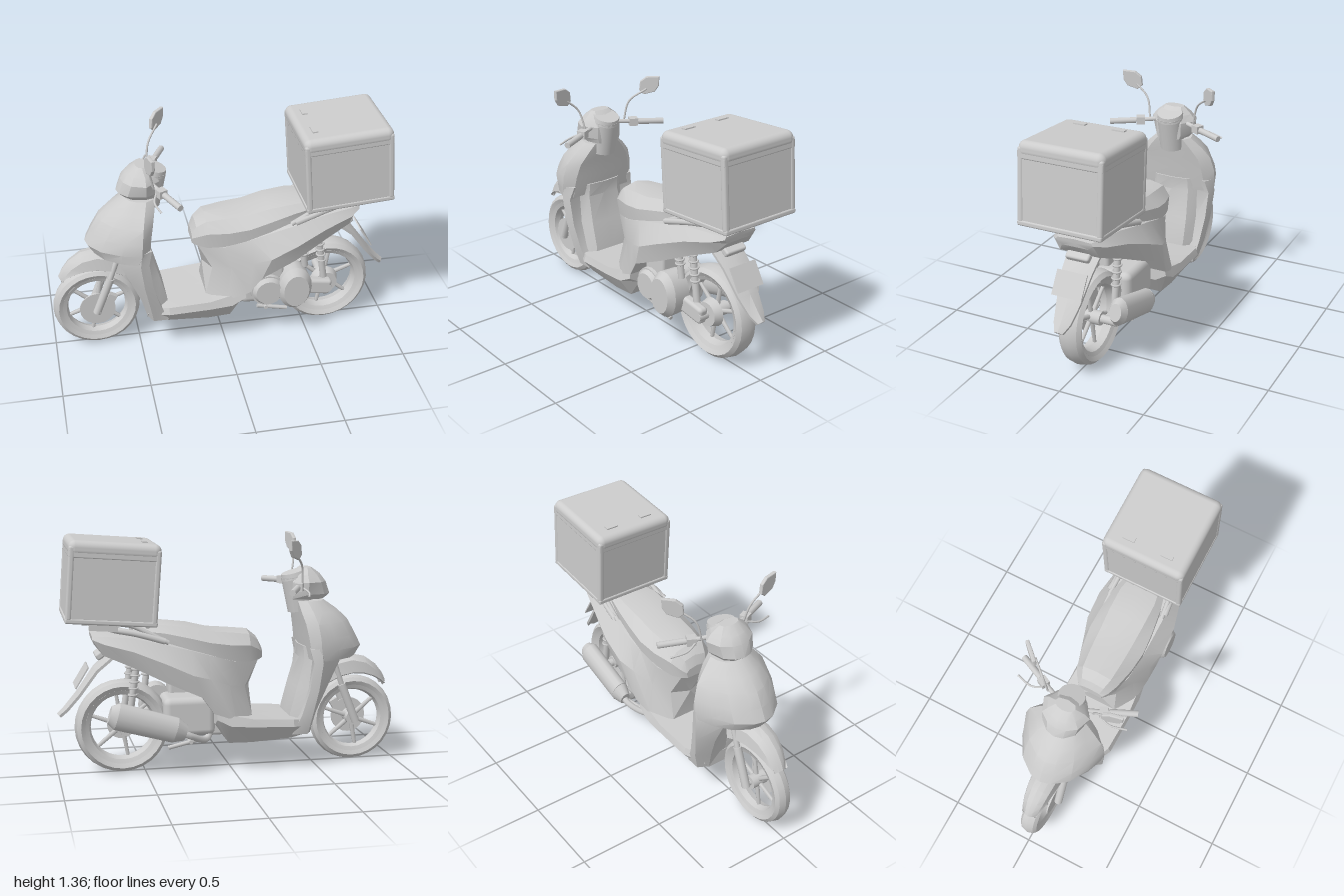
import * as THREE from 'three';
import { toCreasedNormals } from 'three/addons/utils/BufferGeometryUtils.js';
import { RoundedBoxGeometry } from 'three/addons/geometries/RoundedBoxGeometry.js';

const grey = new THREE.MeshStandardMaterial({ color: 0xcccccc });
grey.name = 'light grey';
const V = (p) => new THREE.Vector3(...p);

function add(parent, name, geo, pos = [0, 0, 0], rot = [0, 0, 0]) {
  const m = new THREE.Mesh(geo, grey);
  m.name = name;
  m.position.set(...pos);
  m.rotation.set(...rot);
  parent.add(m);
  return m;
}

// Closed skin over half sections (centre line to centre line), mirrored in z
function loft(sections, crease = 0.4) {
  const rings = sections.map((s) => [...s, ...s.filter((p) => p[2] > 1e-6).reverse().map(([x, y, z]) => [x, y, -z])]);
  const n = rings[0].length, tris = [];
  for (let i = 0; i + 1 < rings.length; i++) {
    for (let j = 0; j < n; j++) {
      const k = (j + 1) % n, a = rings[i][j], b = rings[i][k], c = rings[i + 1][k], d = rings[i + 1][j];
      tris.push([a, b, c], [a, c, d]);
    }
  }
  for (const [r, flip] of [[rings[0], true], [rings.at(-1), false]]) {
    const mid = [0, 1, 2].map((c) => r.reduce((t, p) => t + p[c], 0) / n);
    r.forEach((p, j) => tris.push(flip ? [mid, r[(j + 1) % n], p] : [mid, p, r[(j + 1) % n]]));
  }
  const volume = tris.reduce((t, [a, b, c]) => t + V(a).dot(V(b).cross(V(c))), 0);
  if (volume < 0) tris.forEach((t) => t.reverse());
  const g = new THREE.BufferGeometry();
  g.setAttribute('position', new THREE.Float32BufferAttribute(tris.flat(2), 3));
  return toCreasedNormals(g, crease);
}
// Sections along x: [x, [[y, z], ...]]
const alongX = (list) => loft(list.map(([x, pts]) => pts.map(([y, z]) => [x, y, z])));
// Sections by height: [y, [[x, z], ...]]
const byHeight = (list) => loft(list.map(([y, pts]) => pts.map(([x, z]) => [x, y, z])));

// Round bar between two points
function rod(parent, name, a, b, r, r2 = r, seg = 12) {
  const from = V(a), dir = V(b).sub(from);
  const m = add(parent, name, new THREE.CylinderGeometry(r2, r, dir.length(), seg));
  m.position.copy(from).addScaledVector(dir, 0.5);
  m.quaternion.setFromUnitVectors(new THREE.Vector3(0, 1, 0), dir.normalize());
  return m;
}
const tube = (parent, name, pts, r) =>
  add(parent, name, new THREE.TubeGeometry(new THREE.CatmullRomCurve3(pts.map(V)), 16, r, 8));
// Disc or drum whose axis is z, r2 being the outer (+z) radius
const drum = (parent, name, x, y, z, r, w, r2 = r) =>
  add(parent, name, new THREE.CylinderGeometry(r2, r, w, 20), [x, y, z], [Math.PI / 2, 0, 0]);

function wheel(name, x, y, R, w) {
  const g = new THREE.Group();
  g.name = name;
  g.position.set(x, y, 0);
  const spin = (pts) => toCreasedNormals(new THREE.LatheGeometry(pts.map(([r, z]) => new THREE.Vector2(r, z)), 28), 0.5);
  const k = R * 0.77;
  add(g, 'tyre', spin([[k, -w * 0.75], [R * 0.88, -w], [R * 0.96, -w * 0.7], [R, 0], [R * 0.96, w * 0.7],
    [R * 0.88, w], [k, w * 0.75], [k, -w * 0.75]]), [0, 0, 0], [Math.PI / 2, 0, 0]);
  add(g, 'rim', spin([[k - 0.018, -w * 0.65], [k + 0.005, -w * 0.8], [k + 0.005, w * 0.8], [k - 0.018, w * 0.65],
    [k - 0.03, 0], [k - 0.018, -w * 0.65]]), [0, 0, 0], [Math.PI / 2, 0, 0]);
  drum(g, 'hub', 0, 0, 0, 0.04, w * 1.9);
  for (let i = 0; i < 6; i++) {
    const a = (i * Math.PI) / 3 + 0.35, c = Math.cos(a), s = Math.sin(a);
    rod(g, 'spoke', [c * 0.03, s * 0.03, 0], [c * (k - 0.015), s * (k - 0.015), 0], 0.015, 0.011, 6);
  }
  return g;
}

export function createModel() {
  const bike = new THREE.Group();
  bike.name = 'deliveryScooter';
  const FX = -0.743, FY = 0.262, RX = 0.63, RY = 0.278;
  const front = wheel('frontWheel', FX, FY, 0.256, 0.052);
  const rear = wheel('rearWheel', RX, RY, 0.273, 0.07);
  bike.add(front, rear);
  drum(front, 'brakeDisc', 0, 0, 0.055, 0.105, 0.008);
  drum(rear, 'brakeDrum', 0, 0, 0.05, 0.085, 0.05, 0.07);
  add(front, 'brakeCaliper', new THREE.BoxGeometry(0.05, 0.08, 0.035), [0.075, 0.06, 0.062], [0, 0, -0.5]);

  // Front mudguard wrapped round the wheel, narrowing to its tip: [angle, radius, half width]
  const guard = [[134, 0.305, 0.045], [126, 0.325, 0.055], [115, 0.35, 0.068], [102, 0.374, 0.078],
    [88, 0.386, 0.085], [72, 0.385, 0.09], [55, 0.36, 0.09]];
  add(bike, 'frontMudguard', loft(guard.map(([deg, r, w]) => {
    const a = (deg * Math.PI) / 180;
    return [[r, 0], [r - 0.008, w * 0.45], [r - 0.03, w * 0.85], [0.285, w], [0.278, w - 0.01], [r - 0.038, w * 0.7], [r - 0.014, 0]]
      .map(([q, z]) => [FX + q * Math.cos(a), FY + q * Math.sin(a), z]);
  })));

  // Nose cowl, leg shield, head
  add(bike, 'noseCowl', byHeight([
    [0.65, [[-0.75, 0], [-0.74, 0.06], [-0.69, 0.14], [-0.6, 0.205], [-0.51, 0.24], [-0.45, 0.2], [-0.43, 0]]],
    [0.71, [[-0.79, 0], [-0.775, 0.065], [-0.71, 0.15], [-0.6, 0.215], [-0.49, 0.25], [-0.44, 0.2], [-0.42, 0]]],
    [0.78, [[-0.755, 0], [-0.74, 0.065], [-0.68, 0.15], [-0.58, 0.212], [-0.485, 0.248], [-0.43, 0.19], [-0.41, 0]]],
    [0.86, [[-0.71, 0], [-0.695, 0.06], [-0.635, 0.14], [-0.55, 0.19], [-0.475, 0.225], [-0.415, 0.17], [-0.4, 0]]],
    [0.92, [[-0.645, 0], [-0.63, 0.055], [-0.585, 0.115], [-0.52, 0.15], [-0.46, 0.175], [-0.4, 0.13], [-0.39, 0]]],
    [0.98, [[-0.56, 0], [-0.55, 0.04], [-0.53, 0.075], [-0.49, 0.1], [-0.44, 0.11], [-0.39, 0.08], [-0.38, 0]]],
  ]));
  add(bike, 'legShield', byHeight([
    [0.215, [[-0.45, 0], [-0.46, 0.12], [-0.43, 0.18], [-0.34, 0.18], [-0.34, 0.14], [-0.33, 0.1], [-0.33, 0]]],
    [0.33, [[-0.46, 0], [-0.49, 0.13], [-0.45, 0.212], [-0.39, 0.2], [-0.39, 0.155], [-0.34, 0.115], [-0.34, 0]]],
    [0.48, [[-0.48, 0], [-0.55, 0.15], [-0.48, 0.235], [-0.43, 0.22], [-0.44, 0.155], [-0.38, 0.115], [-0.38, 0]]],
    [0.64, [[-0.52, 0], [-0.625, 0.15], [-0.5, 0.248], [-0.45, 0.23], [-0.46, 0.15], [-0.425, 0.105], [-0.42, 0]]],
    [0.72, [[-0.54, 0], [-0.62, 0.15], [-0.49, 0.245], [-0.43, 0.21], [-0.45, 0.15], [-0.42, 0.1], [-0.41, 0]]],
  ]));
  add(bike, 'headCowl', byHeight([
    [0.99, [[-0.56, 0], [-0.555, 0.04], [-0.52, 0.08], [-0.44, 0.1], [-0.36, 0.07], [-0.35, 0]]],
    [1.02, [[-0.597, 0], [-0.585, 0.05], [-0.54, 0.1], [-0.44, 0.125], [-0.36, 0.08], [-0.345, 0]]],
    [1.09, [[-0.57, 0], [-0.56, 0.055], [-0.52, 0.11], [-0.44, 0.14], [-0.36, 0.08], [-0.34, 0]]],
    [1.13, [[-0.54, 0], [-0.53, 0.045], [-0.5, 0.085], [-0.44, 0.11], [-0.38, 0.07], [-0.37, 0]]],
    [1.17, [[-0.485, 0], [-0.48, 0.03], [-0.47, 0.05], [-0.45, 0.06], [-0.43, 0.05], [-0.42, 0]]],
  ]));
  rod(bike, 'steeringColumn', [-0.425, 0.92, 0], [-0.39, 1.12, 0], 0.075, 0.082, 16);
  rod(bike, 'instrumentDial', [-0.392, 1.11, 0], [-0.382, 1.145, 0], 0.083, 0.075, 24);

  // Mirror head, drawn with its outer edge along +x
  const outline = [[-0.055, -0.03], [-0.03, -0.052], [0.03, -0.035], [0.053, 0], [0.055, 0.05], [-0.015, 0.047], [-0.05, 0.02]];
  const mirrorGeo = new THREE.ExtrudeGeometry(new THREE.Shape(outline.map(([x, y]) => new THREE.Vector2(x, y))),
    { depth: 0.01, bevelEnabled: true, bevelThickness: 0.006, bevelSize: 0.005, bevelSegments: 2 }).translate(0, 0, -0.005);

  // Fork, handlebar, levers and mirrors
  for (const s of [1, -1]) {
    rod(bike, 'forkLeg', [-0.75, 0.25, 0.08 * s], [-0.66, 0.48, 0.08 * s], 0.024);
    rod(bike, 'forkTube', [-0.66, 0.48, 0.08 * s], [-0.59, 0.68, 0.08 * s], 0.016);
    rod(bike, 'handlebar', [-0.41, 1.085, 0.08 * s], [-0.345, 1.072, 0.23 * s], 0.013);
    rod(bike, 'grip', [-0.35, 1.073, 0.21 * s], [-0.285, 1.065, 0.35 * s], 0.018);
    add(bike, 'switchBlock', new THREE.BoxGeometry(0.05, 0.045, 0.05), [-0.365, 1.075, 0.185 * s], [0, 0.45 * s, 0]);
    tube(bike, 'brakeLever', [[-0.39, 1.07, 0.17 * s], [-0.41, 1.05, 0.24 * s], [-0.385, 1.035, 0.335 * s]], 0.006);
    const mx = s > 0 ? -0.435 : -0.32;
    tube(bike, 'mirrorStem', [[-0.4, 1.08, 0.14 * s], [s > 0 ? -0.425 : -0.385, 1.2, 0.17 * s], [mx, 1.275, 0.25 * s]], 0.006);
    add(bike, 'mirror', mirrorGeo, [mx, 1.295, 0.272 * s], [0, (-Math.PI / 2) * s + (s > 0 ? 0.2 : -0.75), 0]);
  }
  rod(bike, 'frontAxle', [FX, FY, -0.1], [FX, FY, 0.1], 0.015);

  // Footboard and belly
  add(bike, 'footboard', alongX([
    [-0.46, [[0.29, 0], [0.29, 0.14], [0.25, 0.15], [0.21, 0.12], [0.21, 0]]],
    [-0.34, [[0.31, 0], [0.31, 0.2], [0.27, 0.215], [0.19, 0.15], [0.19, 0]]],
    [-0.1, [[0.325, 0], [0.325, 0.21], [0.28, 0.22], [0.175, 0.15], [0.175, 0]]],
    [0.03, [[0.35, 0], [0.35, 0.2], [0.29, 0.22], [0.175, 0.14], [0.175, 0]]],
    [0.11, [[0.38, 0], [0.38, 0.2], [0.33, 0.21], [0.29, 0.14], [0.29, 0]]],
  ]));

  // Body under the seat running back into the tail
  add(bike, 'bodyAndTail', loft([
    [[-0.15, 0.65, 0], [-0.15, 0.65, 0.09], [-0.07, 0.5, 0.11], [-0.11, 0.33, 0.12], [-0.11, 0.33, 0]],
    [[0, 0.68, 0], [0, 0.655, 0.15], [0.03, 0.52, 0.17], [0, 0.32, 0.2], [0, 0.32, 0]],
    [[0.15, 0.72, 0], [0.15, 0.7, 0.17], [0.15, 0.57, 0.22], [0.13, 0.37, 0.22], [0.13, 0.37, 0]],
    [[0.25, 0.76, 0], [0.25, 0.73, 0.175], [0.25, 0.6, 0.25], [0.2, 0.47, 0.235], [0.2, 0.47, 0]],
    [[0.4, 0.8, 0], [0.4, 0.77, 0.18], [0.4, 0.67, 0.248], [0.4, 0.56, 0.22], [0.4, 0.57, 0]],
    [[0.58, 0.825, 0], [0.58, 0.81, 0.16], [0.58, 0.74, 0.205], [0.58, 0.645, 0.17], [0.58, 0.65, 0]],
    [[0.74, 0.83, 0], [0.74, 0.82, 0.13], [0.74, 0.78, 0.16], [0.74, 0.71, 0.12], [0.74, 0.71, 0]],
    [[0.8, 0.82, 0], [0.8, 0.815, 0.1], [0.8, 0.8, 0.11], [0.79, 0.77, 0.08], [0.79, 0.77, 0]],
  ]));
  add(bike, 'seat', alongX([
    [-0.18, [[0.72, 0], [0.71, 0.055], [0.69, 0.075], [0.655, 0.065], [0.655, 0]]],
    [-0.155, [[0.775, 0], [0.76, 0.07], [0.71, 0.1], [0.65, 0.09], [0.65, 0]]],
    [-0.1, [[0.82, 0], [0.8, 0.09], [0.74, 0.13], [0.645, 0.12], [0.645, 0]]],
    [0.02, [[0.832, 0], [0.815, 0.1], [0.75, 0.16], [0.655, 0.15], [0.655, 0]]],
    [0.14, [[0.842, 0], [0.825, 0.105], [0.77, 0.175], [0.7, 0.17], [0.7, 0]]],
    [0.26, [[0.872, 0], [0.855, 0.11], [0.8, 0.168], [0.735, 0.165], [0.735, 0]]],
    [0.4, [[0.887, 0], [0.872, 0.11], [0.83, 0.15], [0.78, 0.15], [0.78, 0]]],
    [0.57, [[0.877, 0], [0.865, 0.08], [0.845, 0.11], [0.81, 0.1], [0.81, 0]]],
  ]));
  add(bike, 'tailLamp', new RoundedBoxGeometry(0.05, 0.04, 0.14, 2, 0.012), [0.755, 0.7, 0], [0, 0, -0.6]);

  // Rear mudguard and blank plate
  add(bike, 'rearMudguard', loft([[0.66, 0.74, 0.1], [0.79, 0.63, 0.09], [0.89, 0.49, 0.07], [0.96, 0.405, 0.05], [1.0, 0.365, 0.025]]
    .map(([x, y, w]) => [[x, y, 0], [x - 0.01, y - 0.01, w], [x - 0.022, y - 0.02, w], [x - 0.015, y - 0.015, 0]])));
  add(bike, 'plate', new THREE.BoxGeometry(0.008, 0.14, 0.18), [0.86, 0.58, 0], [0, 0, 0.55]);

  // Engine, drive case and exhaust
  add(bike, 'engineBlock', new RoundedBoxGeometry(0.3, 0.23, 0.24, 2, 0.04), [0.25, 0.33, 0]);
  add(bike, 'cylinderHead', new RoundedBoxGeometry(0.16, 0.14, 0.18, 2, 0.02), [0.13, 0.28, 0]);
  add(bike, 'airBox', new RoundedBoxGeometry(0.16, 0.14, 0.12, 2, 0.02), [0.27, 0.47, 0.1]);
  drum(bike, 'fanCover', 0.25, 0.34, 0.14, 0.11, 0.08, 0.1);
  drum(bike, 'fanCap', 0.25, 0.34, 0.19, 0.095, 0.03, 0.075);
  for (const [name, z, w, r, r2] of [['driveCase', 0.145, 0.1, 0.135, 0.14], ['driveCover', 0.215, 0.04, 0.14, 0.105]]) {
    drum(bike, name, 0.41, 0.35, z, r, w, r2).scale.set(0.72, 1, 1);
  }
  add(bike, 'swingArm', new RoundedBoxGeometry(0.26, 0.1, 0.06, 2, 0.02), [0.52, 0.3, 0.11], [0, 0, -0.15]);
  rod(bike, 'rearAxle', [RX, RY, -0.16], [RX, RY, 0.14], 0.025);
  for (const s of [1, -1]) rod(bike, 'centreStand', [0.2, 0.2, 0.12 * s], [0.38, 0.16, 0.12 * s], 0.012);
  rod(bike, 'standBar', [0.25, 0.19, -0.14], [0.25, 0.19, 0.14], 0.012);
  tube(bike, 'exhaustPipe', [[0.12, 0.25, -0.06], [0.16, 0.2, -0.12], [0.26, 0.24, -0.19], [0.34, 0.28, -0.195]], 0.02);
  for (const [name, a, b, r, r2] of [['mufflerNose', [0.29, 0.262, -0.195], [0.35, 0.282, -0.195], 0.04, 0.066],
    ['muffler', [0.35, 0.282, -0.195], [0.68, 0.378, -0.195], 0.066, 0.07],
    ['mufflerEnd', [0.68, 0.378, -0.195], [0.72, 0.39, -0.195], 0.07, 0.045]]) {
    rod(bike, name, a, b, r, r2, 14).scale.set(1.12, 1, 0.8);
  }

  // Shock absorbers with coil rings
  for (const [a, b] of [[[0.45, 0.7, 0.14], [0.48, 0.46, 0.13]], [[0.55, 0.7, -0.13], [0.6, 0.36, -0.13]], [[0.55, 0.7, 0.12], [0.6, 0.36, 0.12]]]) {
    rod(bike, 'shockAbsorber', a, b, 0.02);
    for (let t = 0.2; t < 0.75; t += 0.11) {
      const p = V(a).lerp(V(b), t);
      add(bike, 'shockCoil', new THREE.TorusGeometry(0.024, 0.006, 6, 12), p.toArray(), [Math.PI / 2, 0, 0]);
    }
  }

  // Luggage rack
  for (const s of [1, -1]) {
    tube(bike, 'rackRail', [[0.38, 0.78, 0.17 * s], [0.5, 0.84, 0.16 * s], [0.6, 0.885, 0.15 * s], [0.86, 0.905, 0.15 * s]], 0.014);
    tube(bike, 'grabRail', [[0.4, 0.79, 0.18 * s], [0.56, 0.835, 0.16 * s], [0.68, 0.855, 0.12 * s], [0.72, 0.86, 0]], 0.018);
    add(bike, 'rackFoot', new THREE.BoxGeometry(0.16, 0.05, 0.025), [0.74, 0.88, 0.15 * s], [0, 0, 0.08]);
  }
  for (const x of [0.5, 0.66, 0.82]) rod(bike, 'rackBar', [x, 0.88 + (x - 0.5) * 0.08, -0.2], [x, 0.88 + (x - 0.5) * 0.08, 0.2], 0.013);

  // Delivery box, tilted forward
  const box = new THREE.Group();
  box.name = 'deliveryBox';
  box.position.set(0.688, 1.127, 0);
  box.rotation.z = 0.075;
  bike.add(box);
  add(box, 'boxBody', new RoundedBoxGeometry(0.497, 0.4, 0.484, 3, 0.02), [0, -0.02, 0]);
  add(box, 'boxLid', new RoundedBoxGeometry(0.51, 0.09, 0.495, 4, 0.038), [0, 0.18, 0]);
  add(box, 'lidSkirt', new RoundedBoxGeometry(0.505, 0.05, 0.49, 2, 0.008), [0, 0.155, 0]);
  add(box, 'boxBase', new RoundedBoxGeometry(0.51, 0.03, 0.492, 2, 0.01), [0, -0.215, 0]);
  for (const x of [-1, 1]) {
    for (const z of [-1, 1]) {
      add(box, 'cornerPost', new RoundedBoxGeometry(0.035, 0.41, 0.035, 2, 0.014), [0.236 * x, -0.01, 0.229 * z]);
    }
    add(box, 'lidLatch', new THREE.BoxGeometry(0.03, 0.01, 0.07), [-0.17, 0.227, 0.115 * x]);
  }
  return bike;
}
